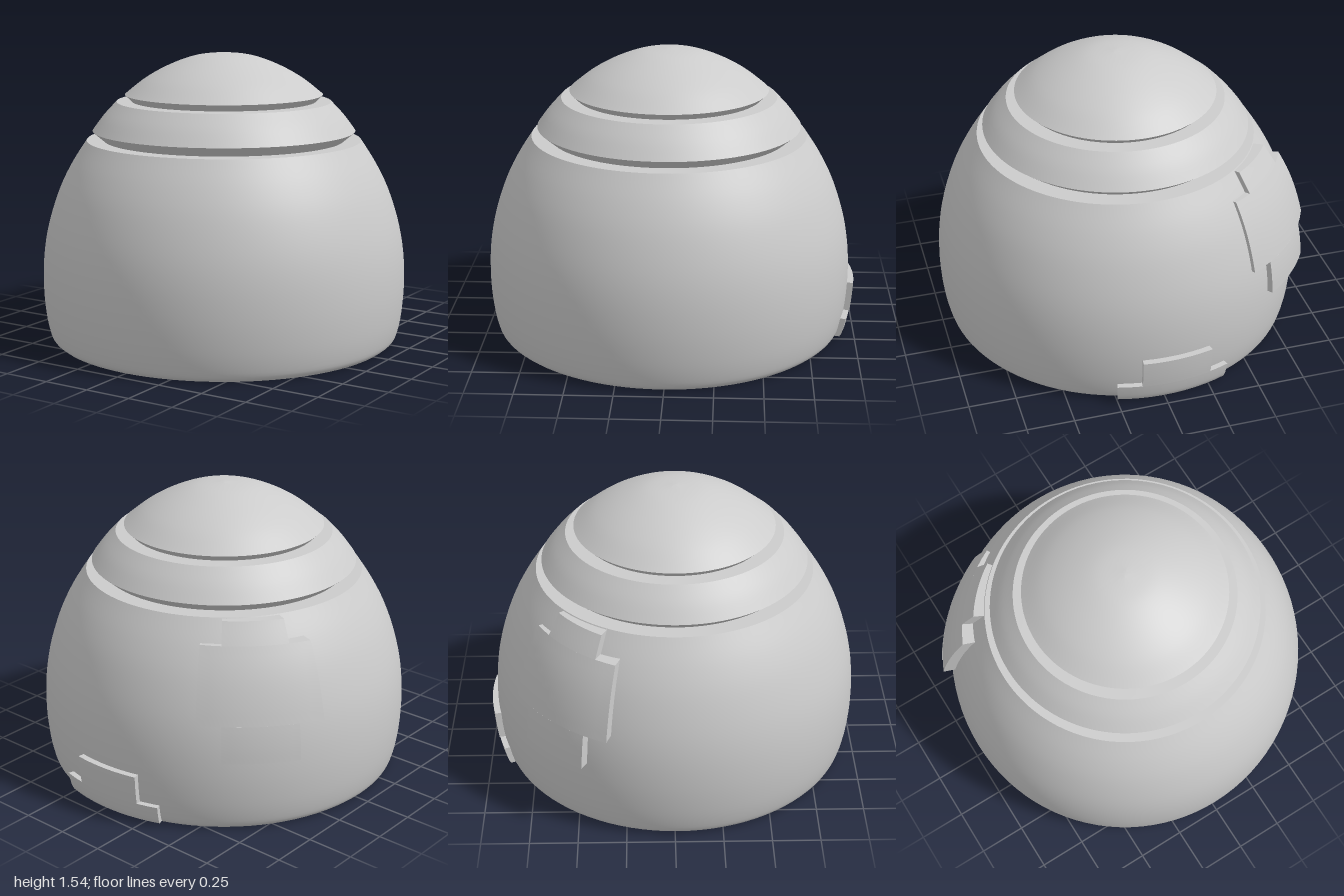
import * as THREE from 'three';
import { toCreasedNormals } from 'three/addons/utils/BufferGeometryUtils.js';

const CENTRE_Z = 0.013;
const material = new THREE.MeshStandardMaterial({ color: 0xcccccc });

const curve = (pts, n) =>
  new THREE.SplineCurve(pts.map(([r, y]) => new THREE.Vector2(r, y))).getPoints(n);
const pt = (r, y) => new THREE.Vector2(r, y);

// Outer wall of the main shell, from the floor to the first groove
const wall = curve([
  [0.92, 0.004], [0.945, 0.035], [0.969, 0.15], [0.98, 0.31], [0.972, 0.48],
  [0.943, 0.64], [0.888, 0.81], [0.82, 0.95], [0.737, 1.08],
], 40);

function wallRadius(y) {
  for (let i = 1; i < wall.length; i++) {
    const a = wall[i - 1], b = wall[i];
    if (y <= b.y) return THREE.MathUtils.mapLinear(Math.max(y, a.y), a.y, b.y, a.x, b.x);
  }
  return wall[wall.length - 1].x;
}

function addMesh(parent, name, geometry) {
  const mesh = new THREE.Mesh(toCreasedNormals(geometry, 0.5), material);
  mesh.name = name;
  parent.add(mesh);
}

const turned = (points) => new THREE.LatheGeometry(points, 96);

// Curved block hugging the wall; angles in degrees from the back towards -x
function plate(a0, a1, y0, y1, thickness) {
  const geo = new THREE.BoxGeometry(1, 1, 1, 10, 8, 1);
  const pos = geo.attributes.position;
  for (let i = 0; i < pos.count; i++) {
    const deg = THREE.MathUtils.lerp(a0, a1, pos.getX(i) + 0.5);
    const a = THREE.MathUtils.degToRad(deg);
    const y = THREE.MathUtils.lerp(y0, y1, pos.getY(i) + 0.5);
    const r = wallRadius(y) + (pos.getZ(i) > 0 ? thickness(deg) : -0.04);
    pos.setXYZ(i, -Math.sin(a) * r, y, -Math.cos(a) * r);
  }
  return geo;
}

export function createModel() {
  const model = new THREE.Group();
  model.name = 'steppedDome';
  const dome = new THREE.Group();
  dome.name = 'dome';
  dome.position.z = CENTRE_Z;
  model.add(dome);

  // Main shell with flat floor and flat ledge under the collar
  addMesh(dome, 'shell', turned([pt(0, 0), pt(0.915, 0), ...wall, pt(0.6, 1.08), pt(0, 1.08)]));

  // Collar ring, undercut at its lower edge
  addMesh(dome, 'collar', turned([
    pt(0.64, 1.075),
    ...curve([[0.705, 1.13], [0.645, 1.21], [0.575, 1.285]], 8),
    pt(0.45, 1.288), pt(0, 1.288),
  ]));

  // Domed cap, undercut in the same way
  addMesh(dome, 'cap', turned([
    pt(0.49, 1.283),
    ...curve([[0.53, 1.322], [0.42, 1.408], [0.29, 1.479], [0.15, 1.528], [0, 1.545]], 24),
  ]));

  // Stepped cross-shaped panel on the rear side, thicker towards -x
  const sidePanel = new THREE.Group();
  sidePanel.name = 'sidePanel';
  const slope = (deg) => THREE.MathUtils.mapLinear(deg, 32, 69.5, 0.02, 0.065);
  [[39.5, 62, 0.41, 0.6], [32, 69.5, 0.6, 0.97], [39.5, 62, 0.97, 1.075]]
    .forEach((b, i) => addMesh(sidePanel, `sidePanelBlock${i + 1}`, plate(...b, slope)));
  dome.add(sidePanel);

  // Low stepped panel at the back
  const backPanel = new THREE.Group();
  backPanel.name = 'backPanel';
  [[-15, 20.5, 0.015, 0.12, 0.03], [-7.5, 14, 0.12, 0.28, 0.033]]
    .forEach(([a0, a1, y0, y1, t], i) =>
      addMesh(backPanel, `backPanelBlock${i + 1}`, plate(a0, a1, y0, y1, () => t)));
  dome.add(backPanel);

  return model;
}
